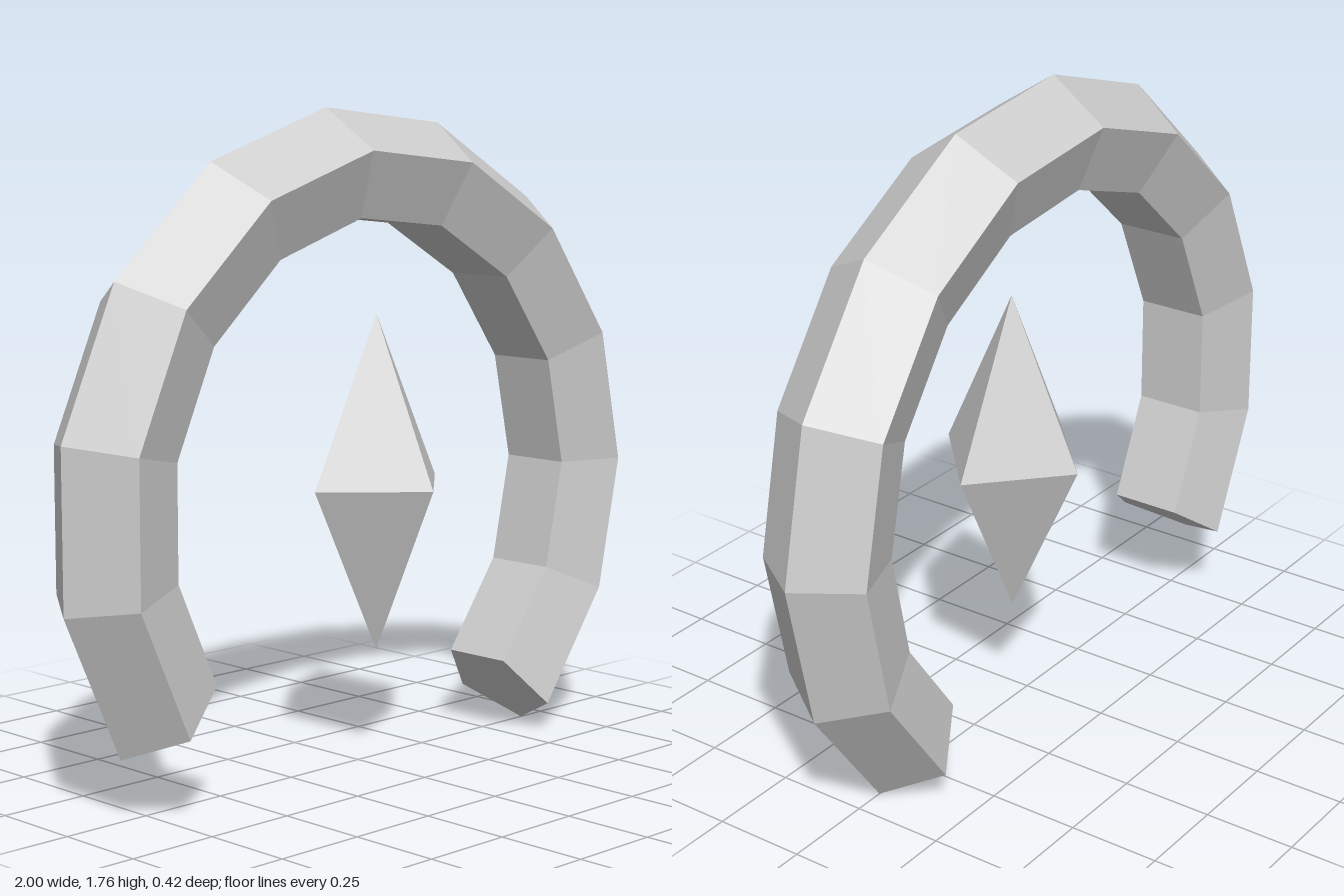
import * as THREE from 'three';

const RING = 0.8535, TUBE = 0.1575, SIDES = 5, SEGMENTS = 11;
const STEP = (Math.PI * 2) / 15;
const START = -2 * STEP, END = START + SEGMENTS * STEP;

export function createModel() {
  const model = new THREE.Group();
  const grey = new THREE.MeshStandardMaterial({ color: 0xcccccc, flatShading: true });
  grey.name = 'light grey';

  // Open pentagonal ring, slightly stretched in depth
  const openRing = new THREE.Group();
  openRing.name = 'openRing';
  openRing.position.set(-0.011, 0.751, 0);
  openRing.scale.z = 1.09;
  model.add(openRing);

  const band = new THREE.TorusGeometry(RING, TUBE, SIDES, SEGMENTS, END - START);
  band.rotateZ(START);
  addPart(openRing, 'ringBand', band, grey);

  // Flat caps closing both ends of the ring
  for (const [name, angle, turn] of [['rightEndCap', END, -1], ['leftEndCap', START, 1]]) {
    const cap = new THREE.CircleGeometry(TUBE, SIDES);
    cap.rotateX((turn * Math.PI) / 2).translate(RING, 0, 0).rotateZ(angle);
    addPart(openRing, name, cap, grey);
  }

  // Floating crystal inside the ring
  const crystal = addPart(model, 'crystal', new THREE.OctahedronGeometry(1), grey);
  crystal.scale.set(0.229, 0.457, 0.212);
  crystal.position.set(0.069, 0.752, 0);

  return model;
}

function addPart(parent, name, geometry, material) {
  const mesh = new THREE.Mesh(geometry, material);
  mesh.name = name;
  parent.add(mesh);
  return mesh;
}
